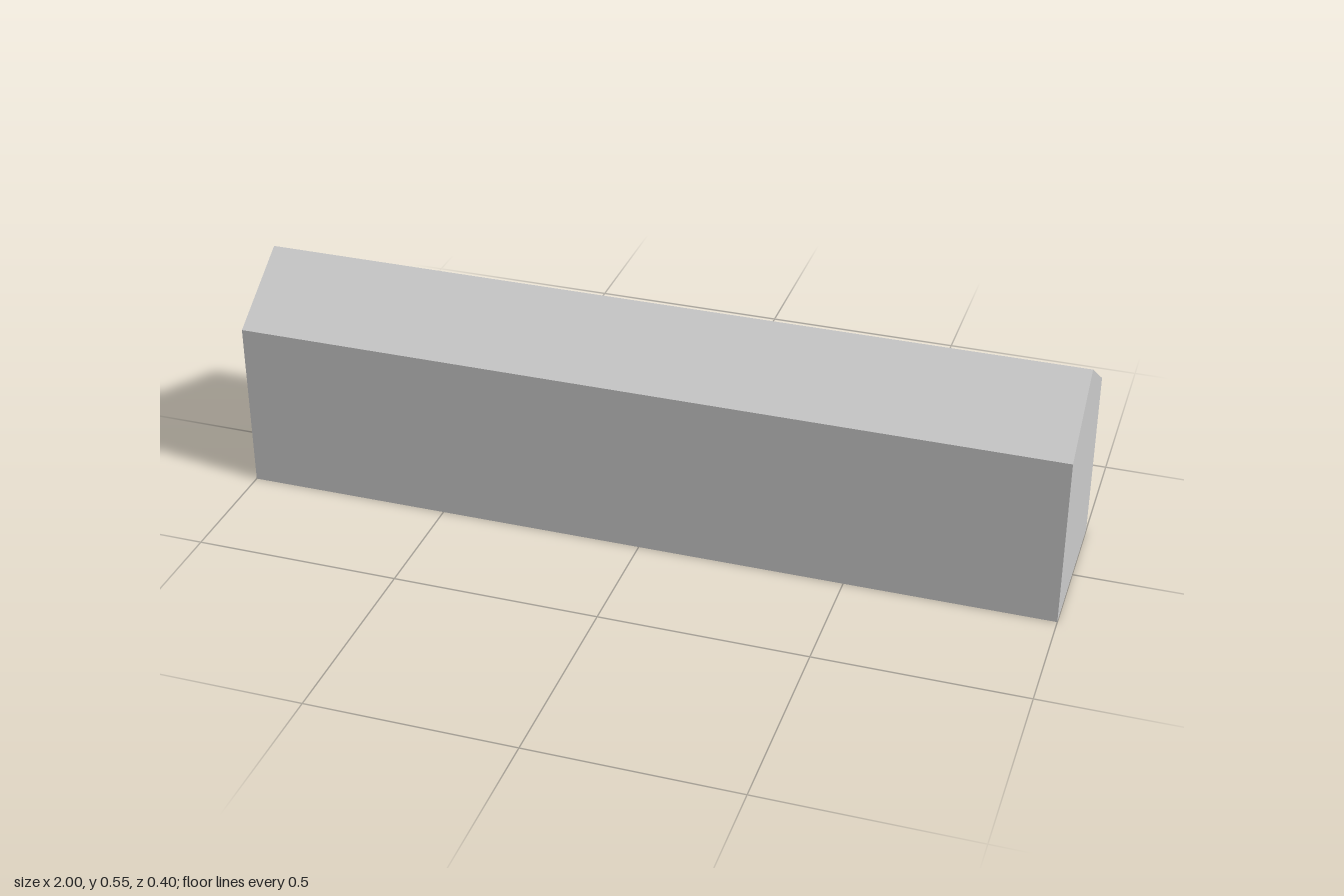
import * as THREE from 'three';

const LENGTH = 2, HALF_WIDTH = 0.2, EAVE = 0.42, RIDGE = 0.55;

export function createModel() {
  const model = new THREE.Group();
  model.name = 'gabledHall';

  // Gable outline: upright walls under a symmetrical pitched roof
  const gable = new THREE.Shape([
    new THREE.Vector2(-HALF_WIDTH, 0),
    new THREE.Vector2(HALF_WIDTH, 0),
    new THREE.Vector2(HALF_WIDTH, EAVE),
    new THREE.Vector2(0, RIDGE),
    new THREE.Vector2(-HALF_WIDTH, EAVE),
  ]);

  // Long solid hall, with the ridge running along x
  const geometry = new THREE.ExtrudeGeometry(gable, { depth: LENGTH, bevelEnabled: false });
  geometry.translate(0, 0, -LENGTH / 2).rotateY(Math.PI / 2);

  const hall = new THREE.Mesh(
    geometry,
    new THREE.MeshStandardMaterial({ color: 0xcccccc, flatShading: true })
  );
  hall.name = 'hallWallsAndRoof';
  model.add(hall);
  return model;
}
